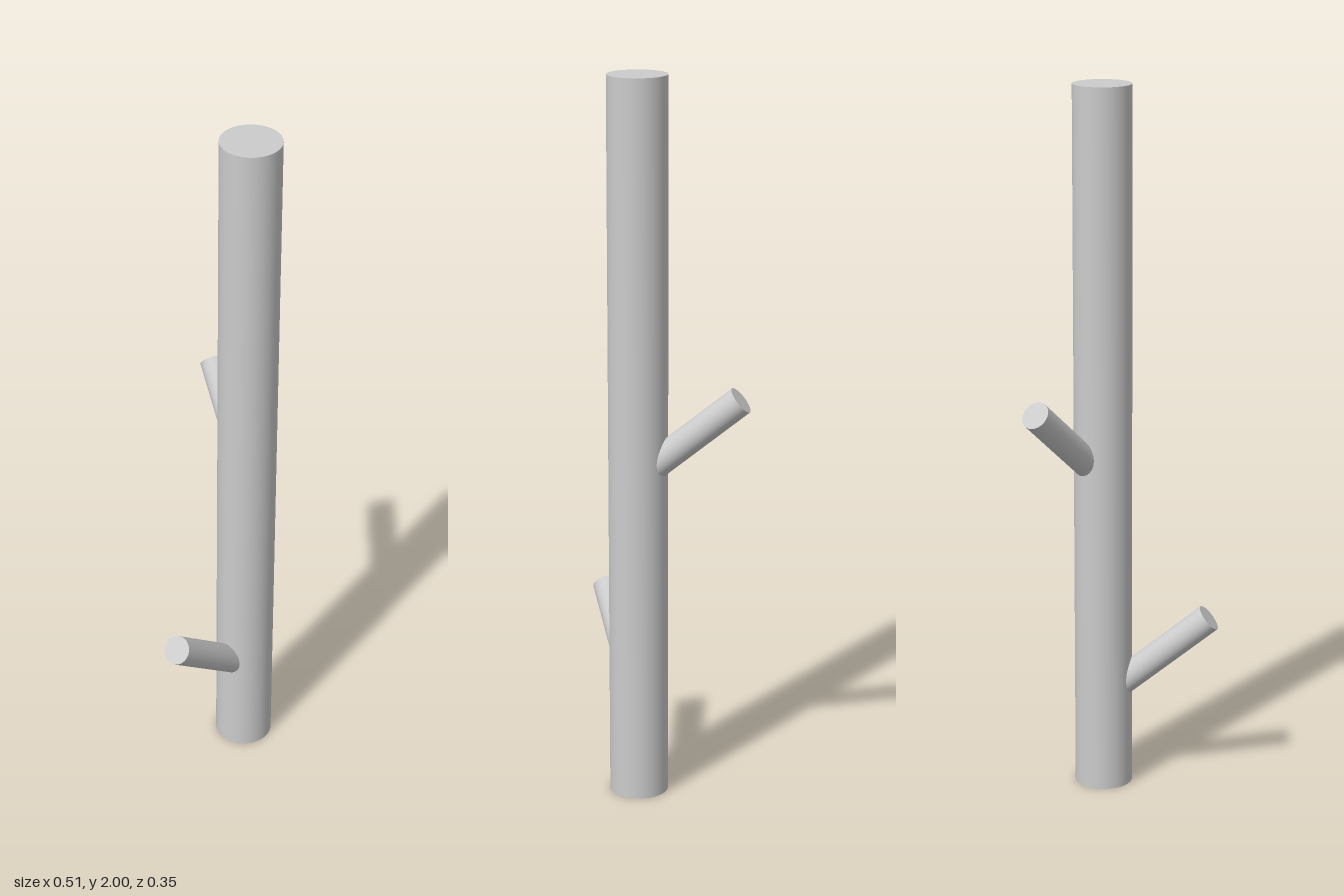
import * as THREE from 'three';

const material = new THREE.MeshStandardMaterial({ color: 0xcccccc });

// Straight capped cylinder between two points
function rod(name, from, to, radius) {
  const axis = new THREE.Vector3().subVectors(to, from);
  const mesh = new THREE.Mesh(new THREE.CylinderGeometry(radius, radius, axis.length(), 48), material);
  mesh.name = name;
  mesh.position.addVectors(from, to).multiplyScalar(0.5);
  mesh.quaternion.setFromUnitVectors(new THREE.Vector3(0, 1, 0), axis.normalize());
  return mesh;
}

// Side branch given by its tip, horizontal heading and horizontal reach back into the trunk
function branch(name, tip, headingX, headingZ, reach) {
  const rise = Math.tan(THREE.MathUtils.degToRad(39.5));
  const root = tip.clone().addScaledVector(new THREE.Vector3(headingX, rise, headingZ), -reach);
  return rod(name, root, tip, 0.04);
}

export function createModel() {
  const group = new THREE.Group();
  group.name = 'branchedPole';

  // Upright trunk
  group.add(rod('trunk', new THREE.Vector3(0.069, 0, 0.093), new THREE.Vector3(0.069, 2, 0.093), 0.081));

  // Two rising branches
  group.add(branch('lowerBranch', new THREE.Vector3(-0.231, 0.505, 0.093), -1, 0, 0.28));
  group.add(branch('upperBranch', new THREE.Vector3(0.216, 1.143, -0.147), 0.481, -0.877, 0.26));

  return group;
}
